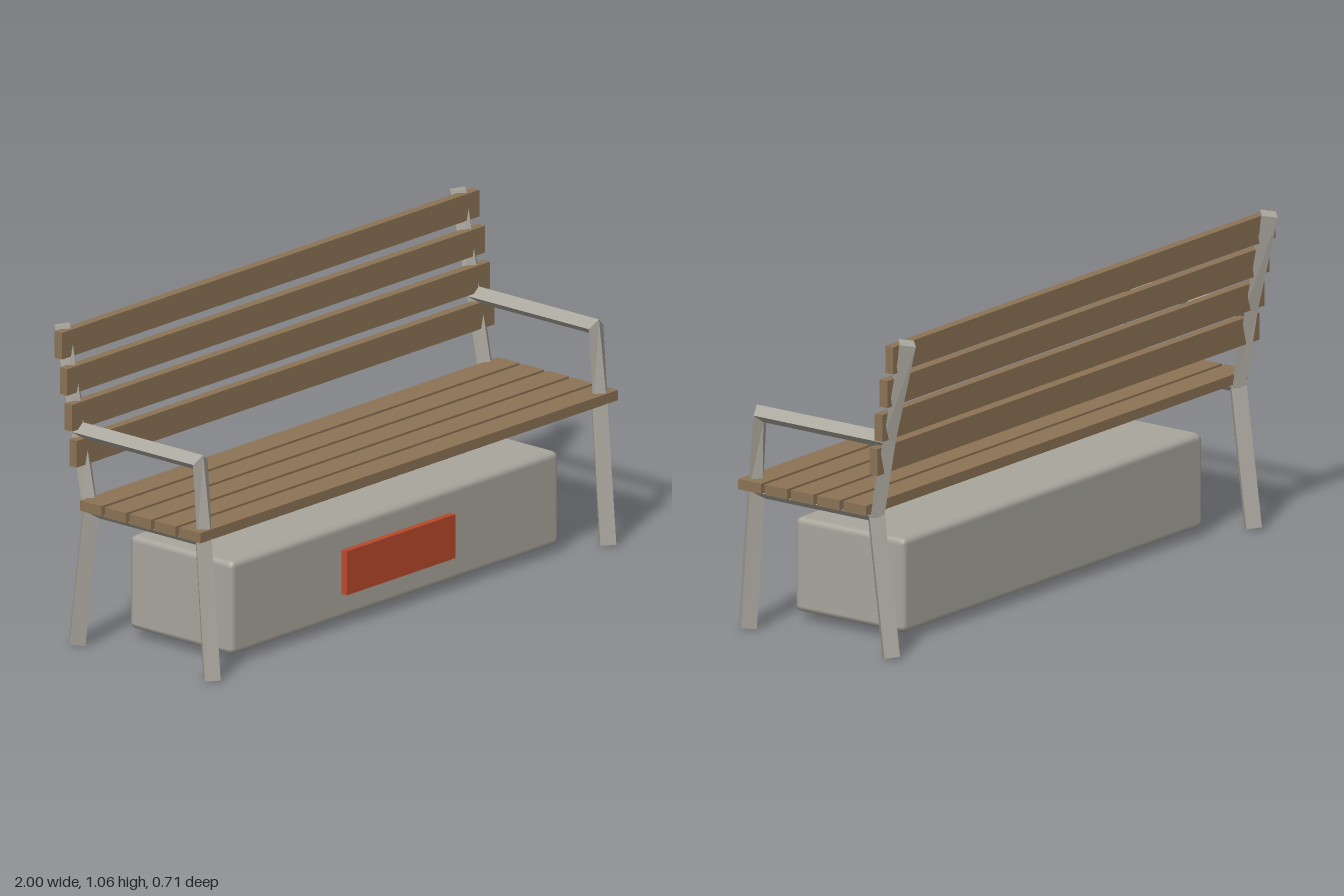
import * as THREE from 'three';
import { RoundedBoxGeometry } from 'three/addons/geometries/RoundedBoxGeometry.js';

// Four-sided bar swept along [z, y, radius] points, standing on its corner
function barGeometry(points, halfX = 0.035) {
  const pos = [], index = [], last = points.length - 1;
  points.forEach(([z, y, r], i) => {
    const a = points[Math.max(i - 1, 0)], b = points[Math.min(i + 1, last)];
    const t = new THREE.Vector2(b[0] - a[0], b[1] - a[1]).normalize();
    const nz = -t.y * r, ny = t.x * r;
    pos.push(halfX, y, z, 0, y + ny, z + nz, -halfX, y, z, 0, y - ny, z - nz);
    if (i === last) return;
    for (let k = 0; k < 4; k++) {
      const p = i * 4 + k, q = i * 4 + (k + 1) % 4;
      index.push(p, q, q + 4, p, q + 4, p + 4);
    }
  });
  const e = last * 4;
  index.push(0, 2, 1, 0, 3, 2, e, e + 1, e + 2, e, e + 2, e + 3);
  const indexed = new THREE.BufferGeometry();
  indexed.setAttribute('position', new THREE.Float32BufferAttribute(pos, 3));
  indexed.setIndex(index);
  const geo = indexed.toNonIndexed();
  geo.computeVertexNormals();
  return geo;
}

export function createModel() {
  const model = new THREE.Group();
  model.name = 'bench';
  const material = (name, color) => {
    const m = new THREE.MeshStandardMaterial({ color });
    m.name = name;
    return m;
  };
  const grey = material('grey', 0xa8a59c);
  const wood = material('wood', 0x8b7355);
  const red = material('orangeRed', 0xb84a2c);

  const add = (parent, name, geo, mat, x = 0, y = 0, z = 0) => {
    const mesh = new THREE.Mesh(geo, mat);
    mesh.name = name;
    mesh.position.set(x, y, z);
    parent.add(mesh);
  };

  // Side frames
  const bars = {
    frontLeg: [[0.32, 0.008, 0.037], [0.284, 0.475, 0.035]],
    armrest: [[0.288, 0.47, 0.029], [0.27, 0.722, 0.03], [-0.25, 0.722, 0.028]],
    backLeg: [[-0.256, 0.008, 0.036], [-0.195, 0.473, 0.035]],
    backPost: [[-0.2, 0.465, 0.028], [-0.25, 0.73, 0.025], [-0.32, 1.057, 0.036]],
    seatRail: [[0.285, 0.47, 0.027], [-0.195, 0.47, 0.027]],
  };
  for (const side of [1, -1]) {
    const frame = new THREE.Group();
    frame.name = side > 0 ? 'leftFrame' : 'rightFrame';
    frame.position.x = side * 0.947;
    for (const [name, points] of Object.entries(bars)) add(frame, name, barGeometry(points), grey);
    model.add(frame);
  }

  // Seat slats, front to back
  const seatSlat = new THREE.BoxGeometry(2, 0.034, 0.091);
  for (let i = 0; i < 5; i++) add(model, 'seatSlat', seatSlat, wood, 0, 0.491, 0.272 - i * 0.1055);

  // Backrest slats, stepping up and back
  const backSlat = new THREE.BoxGeometry(2, 0.089, 0.031);
  [-0.226, -0.246, -0.266, -0.289].forEach((z, i) =>
    add(model, 'backSlat', backSlat, wood, 0, 0.659 + i * 0.116, z));

  // Chamfered storage box under the seat with its front panel
  add(model, 'storageBox', new RoundedBoxGeometry(1.57, 0.315, 0.443, 1, 0.022), grey, 0, 0.188, 0.039);
  add(model, 'frontPanel', new THREE.BoxGeometry(0.52, 0.147, 0.03), red, 0, 0.189, 0.268);

  return model;
}
